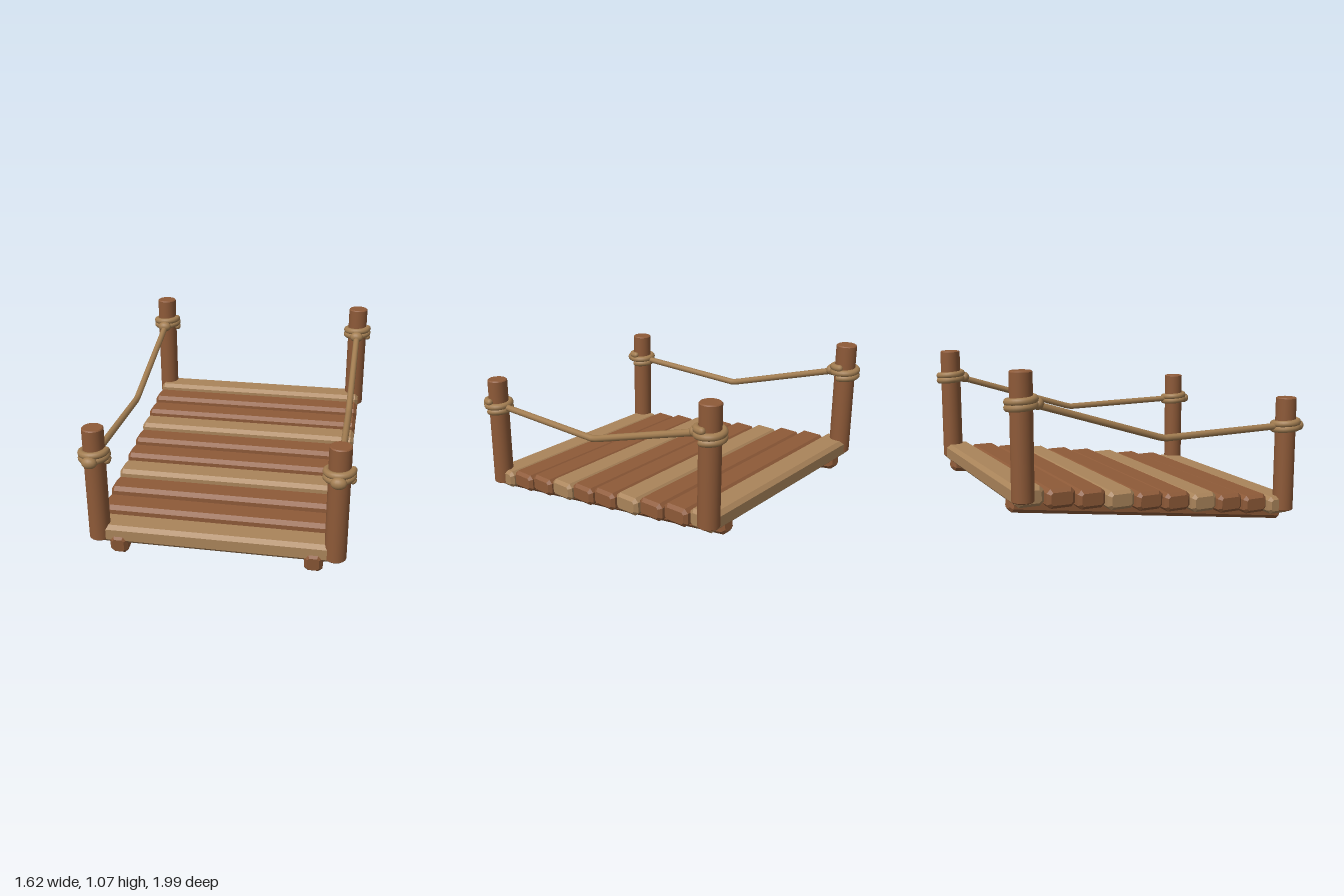
import * as THREE from 'three';

const darkWood = new THREE.MeshStandardMaterial({ color: 0x8e5a38 });
darkWood.name = 'darkWood';
const lightWood = new THREE.MeshStandardMaterial({ color: 0xaa845a });
lightWood.name = 'lightWood';
const ropeFibre = new THREE.MeshStandardMaterial({ color: 0xa27d51 });
ropeFibre.name = 'ropeFibre';

// Beam of the given length along z, with every edge chamfered by c
function chamferedBeam(w, h, length, c) {
  const x = w / 2 - c, y = h / 2 - c, k = c * 0.6;
  const shape = new THREE.Shape([
    [x, -y + k], [x, y - k], [x - k, y], [-x + k, y],
    [-x, y - k], [-x, -y + k], [-x + k, -y], [x - k, -y],
  ].map(([a, b]) => new THREE.Vector2(a, b)));
  return new THREE.ExtrudeGeometry(shape, {
    depth: length - 2 * c, bevelEnabled: true, bevelSegments: 1, bevelSize: c, bevelThickness: c,
  }).translate(0, 0, c - length / 2);
}

// Upright cylinder with small bevels at both ends
function postGeometry(r, h) {
  const b = 0.006;
  const profile = [[0, 0], [r - b, 0], [r - b, 0], [r, b], [r, b], [r, h - b], [r, h - b], [r - b, h], [r - b, h], [0, h]];
  return new THREE.LatheGeometry(profile.map(([a, y]) => new THREE.Vector2(a, y)), 24);
}

// Two rising turns of rope around a post
class Coil extends THREE.Curve {
  getPoint(t, target = new THREE.Vector3()) {
    const a = t * Math.PI * 4;
    return target.set(0.075 * Math.cos(a), -0.03 + 0.066 * t, -0.075 * Math.sin(a));
  }
}

export function createModel() {
  const model = new THREE.Group();
  model.name = 'ropeBridgeRamp';
  const add = (name, geometry, material, x, y, z, parent = model) => {
    const mesh = new THREE.Mesh(geometry, material);
    mesh.name = name;
    mesh.position.set(x, y, z);
    parent.add(mesh);
    return mesh;
  };

  // Stepped deck planks, every third one pale
  const plank = chamferedBeam(0.172, 0.114, 1.5, 0.02).rotateY(Math.PI / 2);
  for (let i = 0; i < 10; i++) {
    add('plank', plank, i % 3 ? darkWood : lightWood, 0, 0.139 + i * 0.0267, 0.828 - i * 0.1885);
  }

  const stringer = chamferedBeam(0.11, 0.125, 1.885, 0.02).rotateX(0.141);
  const post = postGeometry(0.065, 0.73);
  const coil = new THREE.TubeGeometry(new Coil(), 64, 0.022, 10);
  const coilEnd = new THREE.SphereGeometry(0.022, 10, 8);
  const knot = new THREE.SphereGeometry(1, 16, 12).scale(0.047, 0.036, 0.034);

  for (const side of [-1, 1]) {
    const x = side * 0.715;
    // Sloping beam under the planks
    add('stringer', stringer, darkWood, side * 0.59, 0.203, -0.013);

    // Posts with their rope lashings
    for (const [end, z, base] of [['front', 0.87, 0.1], ['back', -0.9, 0.35]]) {
      add(end + 'Post', post, darkWood, x, base, z);
      const lashing = new THREE.Group();
      lashing.name = end + 'Lashing';
      lashing.position.set(x, base + 0.551, z);
      model.add(lashing);
      add('coil', coil, ropeFibre, 0, 0, 0, lashing);
      add('coilEnd', coilEnd, ropeFibre, 0.075, -0.03, 0, lashing);
      add('coilEnd', coilEnd, ropeFibre, 0.075, 0.036, 0, lashing);
      add('knot', knot, ropeFibre, 0, -0.006, 0.094, lashing);
    }

    // Sagging handrail rope
    const path = new THREE.CurvePath();
    const [front, middle, back] = [[0.65, 0.86], [0.637, -0.015], [0.893, -0.83]]
      .map(([y, z]) => new THREE.Vector3(0, y, z));
    path.add(new THREE.LineCurve3(front, middle));
    path.add(new THREE.LineCurve3(middle, back));
    add('handrailRope', new THREE.TubeGeometry(path, 40, 0.021, 10), ropeFibre, x, 0, 0);
  }
  return model;
}
